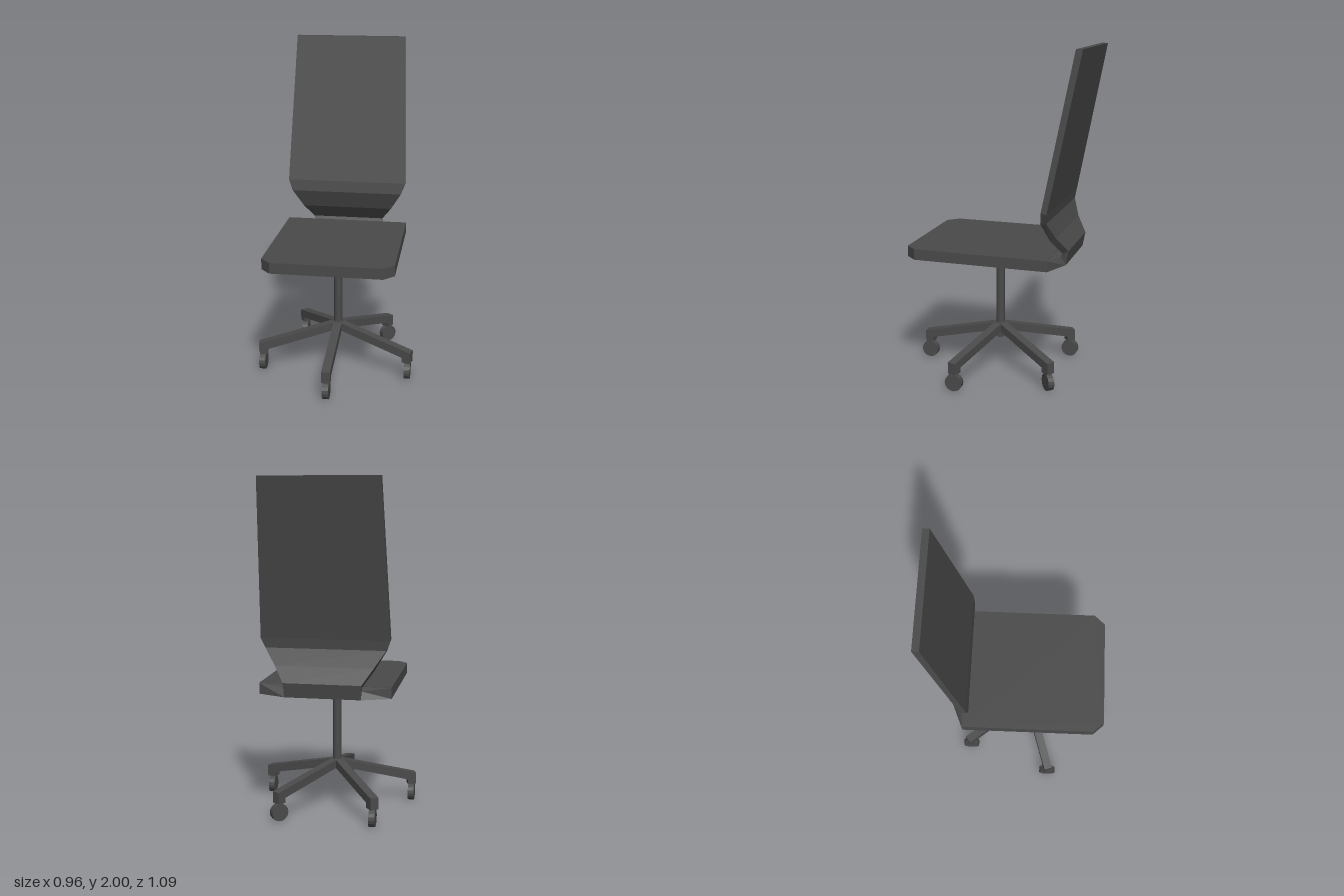
import * as THREE from 'three';

const material = new THREE.MeshStandardMaterial({ color: 0x4a4a4a, flatShading: true });
const BASE_Z = 0.02;

function addMesh(parent, name, geometry) {
  const mesh = new THREE.Mesh(geometry, material);
  mesh.name = name;
  parent.add(mesh);
  return mesh;
}

function extrude(points, depth) {
  const shape = new THREE.Shape(points.map(([x, y]) => new THREE.Vector2(x, y)));
  return new THREE.ExtrudeGeometry(shape, { depth, bevelEnabled: false });
}

// Skins four-cornered cross-sections: [half width, front z, front y, back z, back y]
function loft(stations) {
  const rings = stations.map(([w, fz, fy, bz, by]) => [
    [-w, fy, fz], [w, fy, fz], [w, by, bz], [-w, by, bz],
  ]);
  const pos = [];
  const quad = (a, b, c, d) => pos.push(...a, ...b, ...c, ...a, ...c, ...d);
  for (let i = 0; i < rings.length - 1; i++) {
    const s = rings[i], t = rings[i + 1];
    for (let k = 0; k < 4; k++) {
      const n = (k + 1) % 4;
      quad(s[k], s[n], t[n], t[k]);
    }
  }
  quad(...[...rings[0]].reverse());
  quad(...rings[rings.length - 1]);
  const geometry = new THREE.BufferGeometry();
  geometry.setAttribute('position', new THREE.Float32BufferAttribute(pos, 3));
  geometry.computeVertexNormals();
  return geometry;
}

export function createModel() {
  const chair = new THREE.Group();
  chair.name = 'officeChair';

  // Seat slab with clipped front corners
  const seat = extrude([
    [-0.385, 0.375], [-0.385, -0.43], [-0.325, -0.495],
    [0.325, -0.495], [0.385, -0.43], [0.385, 0.375],
  ], 0.065);
  seat.rotateX(-Math.PI / 2);
  addMesh(chair, 'seat', seat).position.y = 0.765;

  // Backrest: narrows behind the seat, curls up, widens, then leans back
  addMesh(chair, 'backrest', loft([
    [0.385, -0.375, 0.828, -0.375, 0.765],
    [0.22, -0.415, 0.81, -0.445, 0.765],
    [0.225, -0.425, 0.835, -0.46, 0.85],
    [0.285, -0.365, 0.92, -0.40, 0.938],
    [0.35, -0.325, 1.03, -0.36, 1.035],
    [0.375, -0.333, 1.1, -0.367, 1.092],
    [0.34, -0.508, 2.0, -0.547, 2.0],
  ]));

  // Central column
  const column = new THREE.CylinderGeometry(0.026, 0.026, 0.52, 12);
  addMesh(chair, 'column', column).position.set(0, 0.51, BASE_Z);

  // Five-legged base: sloping arm with a downturned end, and a wheel under each
  const legGeometry = extrude([
    [0, 0.245], [0.445, 0.14], [0.445, 0.11], [0.497, 0.11], [0.497, 0.18], [0, 0.295],
  ], 0.052);
  legGeometry.translate(0, 0, -0.026);
  const wheelGeometry = new THREE.CylinderGeometry(0.052, 0.052, 0.037, 16);
  wheelGeometry.rotateZ(Math.PI / 2);

  for (let i = 0; i < 5; i++) {
    const angle = (i * Math.PI * 2) / 5;
    const leg = addMesh(chair, 'leg', legGeometry);
    leg.position.z = BASE_Z;
    leg.rotation.y = angle - Math.PI / 2;

    const wheel = addMesh(chair, 'wheel', wheelGeometry);
    wheel.position.set(Math.sin(angle) * 0.473, 0.054, BASE_Z + Math.cos(angle) * 0.473);
    // One wheel is swivelled
    if (i === 2) wheel.rotation.y = -0.9;
  }
  return chair;
}
